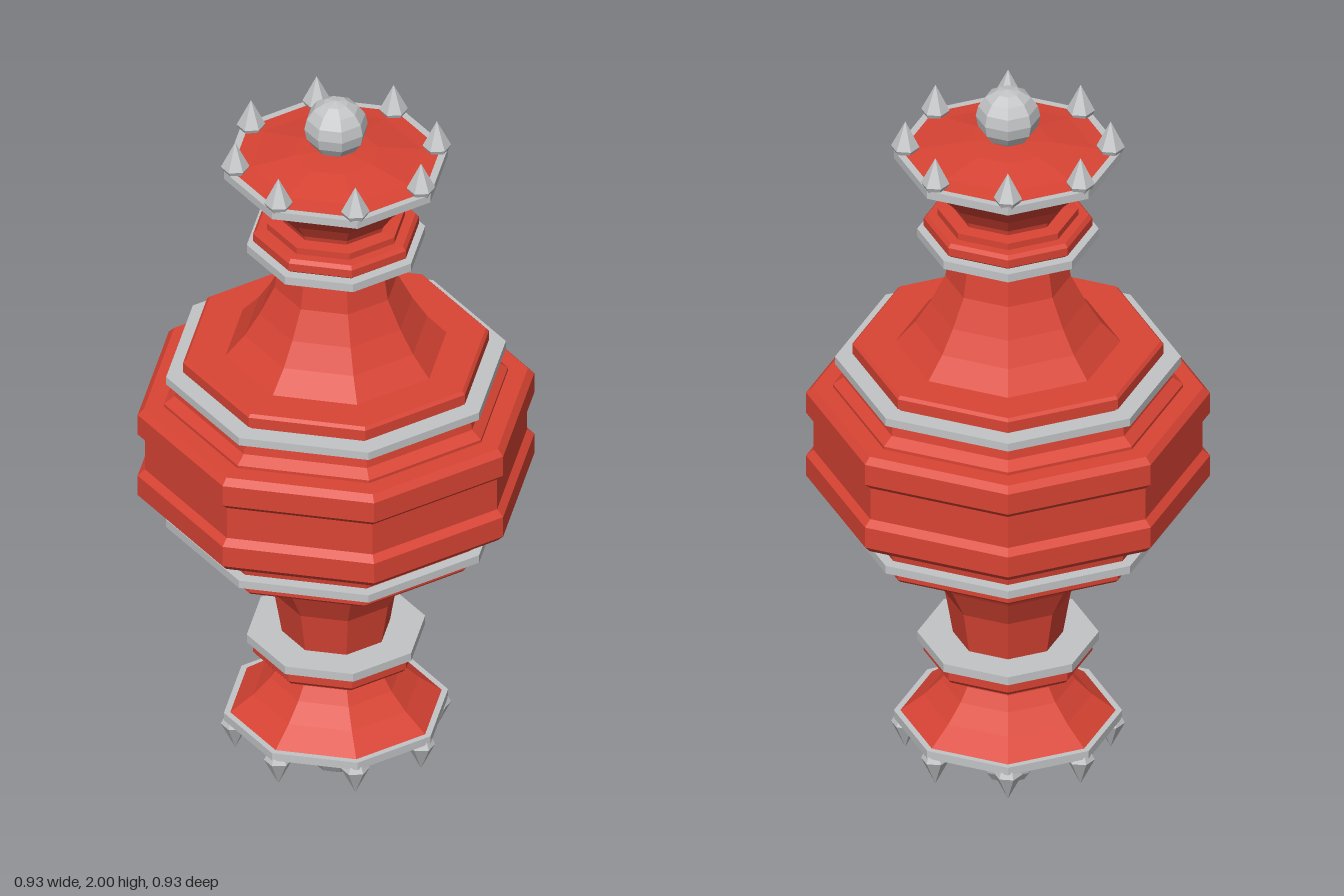
import * as THREE from 'three';

const APOTHEM = 1 / Math.cos(Math.PI / 8);

// Faceted solid turned from [radius, y] points, listed from bottom to top
function turned(points, sides, scale = 1) {
  const pts = points.map(([r, y]) => new THREE.Vector2(r * scale, y));
  const geo = new THREE.LatheGeometry(pts, sides).toNonIndexed();
  geo.computeVertexNormals();
  return geo;
}

// Octagonal solid with flat sides facing the axes; radii are to the flats
function octagon(points) {
  return turned(points, 8, APOTHEM).rotateY(Math.PI / 8);
}

export function createModel() {
  const model = new THREE.Group();
  model.name = 'ornament';
  const red = new THREE.MeshStandardMaterial({ color: 0xd94434 });
  red.name = 'red';
  const silver = new THREE.MeshStandardMaterial({ color: 0xc2c4c6 });
  silver.name = 'silver';

  const add = (parent, name, geo, mat) => {
    const mesh = new THREE.Mesh(geo, mat);
    mesh.name = name;
    parent.add(mesh);
    return mesh;
  };

  // Half profiles, heights measured from the middle of the body
  const parts = {
    belly: [
      [0.45, 0], [0.45, 0.045], [0.467, 0.062], [0.467, 0.12], [0.452, 0.137],
      [0.405, 0.137], [0.405, 0.145], [0.38, 0.165], [0.375, 0.2], [0.35, 0.2],
      [0.35, 0.228], [0.36, 0.234], [0.36, 0.262], [0.353, 0.27], [0.26, 0.27],
    ],
    neck: [
      [0.26, 0.27], [0.215, 0.325], [0.18, 0.385], [0.145, 0.46], [0.127, 0.575],
    ],
    collar: [
      [0.127, 0.595], [0.185, 0.597], [0.195, 0.605], [0.195, 0.627],
      [0.187, 0.637], [0.163, 0.637], [0.163, 0.655], [0.125, 0.657],
    ],
    flare: [
      [0.125, 0.65], [0.13, 0.67], [0.155, 0.71], [0.195, 0.755], [0.25, 0.802],
    ],
    cap: [
      [0.255, 0.822], [0.2, 0.828], [0.1, 0.848], [0, 0.856],
    ],
  };

  // Silver trim rings: [name, radius, bottom, top]
  const rings = [
    ['bellyRing', 0.4, 0.203, 0.225],
    ['collarRing', 0.21, 0.573, 0.596],
    ['crownRing', 0.264, 0.801, 0.823],
  ];

  // Spike and finial ball
  const spikeGeo = turned([[0, 0.815], [0.026, 0.815], [0.036, 0.835], [0, 0.907]], 6);
  const ballGeo = new THREE.SphereGeometry(0.077, 8, 8).toNonIndexed();
  ballGeo.computeVertexNormals();
  ballGeo.rotateY(Math.PI / 8).scale(1.05, 1, 1.05);

  // The upper half, then the same half turned upside down
  for (const side of ['upper', 'lower']) {
    const half = new THREE.Group();
    half.name = side + 'Half';
    half.position.y = 1;
    if (side === 'lower') half.rotation.x = Math.PI;
    model.add(half);

    for (const [name, profile] of Object.entries(parts)) {
      add(half, name, octagon(profile), red);
    }
    for (const [name, r, y0, y1] of rings) {
      add(half, name, octagon([[0, y0], [r, y0], [r, y1], [0, y1]]), silver);
    }
    for (let i = 0; i < 8; i++) {
      const a = (i + 0.5) * Math.PI / 4;
      const spike = add(half, 'spike', spikeGeo, silver);
      spike.position.set(0.257 * Math.cos(a), 0, 0.257 * Math.sin(a));
    }
    add(half, 'finialBall', ballGeo, silver).position.y = 0.923;
  }
  return model;
}
